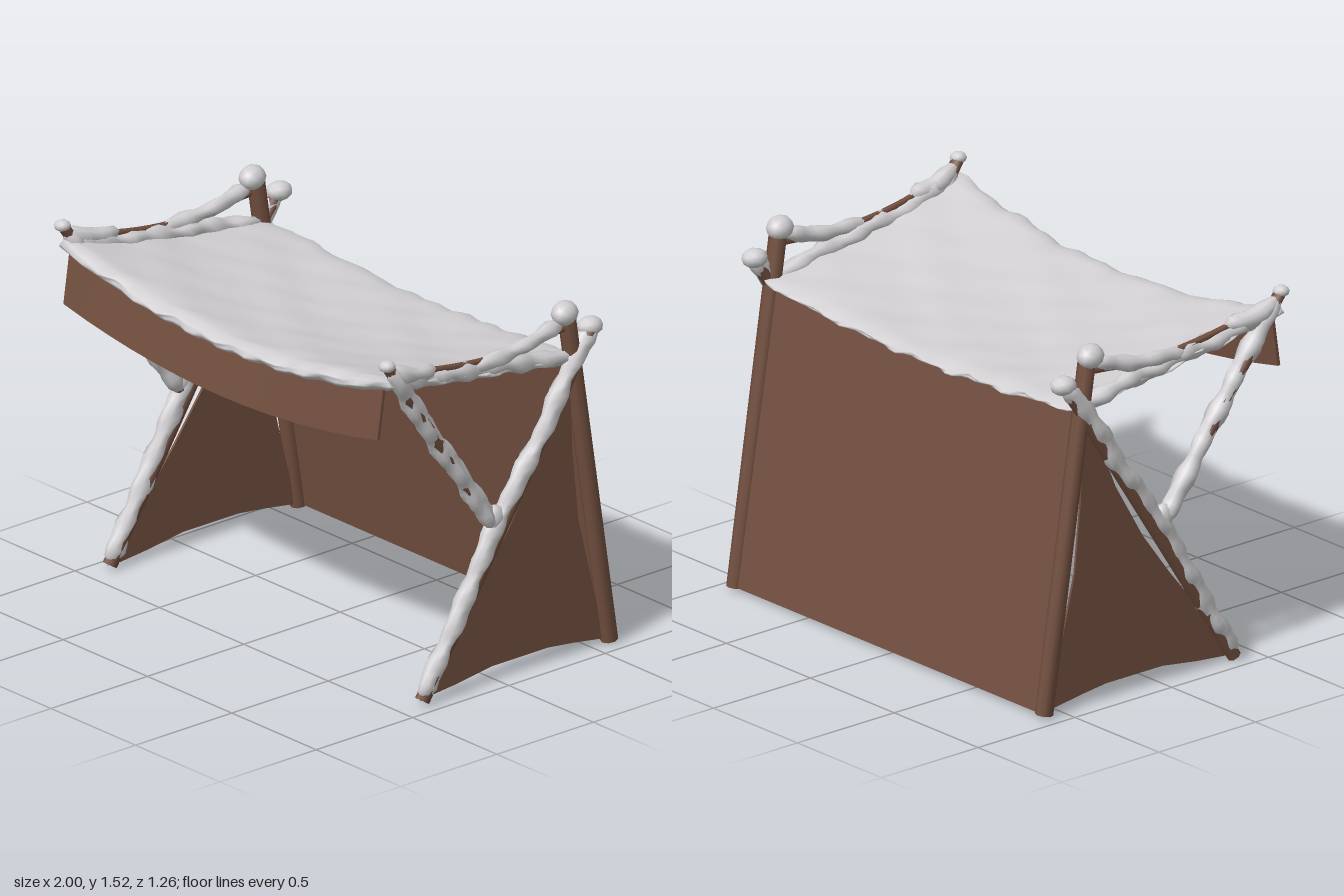
import * as THREE from 'three';
import { mergeVertices, toCreasedNormals } from 'three/addons/utils/BufferGeometryUtils.js';

const brown = new THREE.MeshStandardMaterial({ name: 'brown hide and wood', color: 0x735040 });
const snow = new THREE.MeshStandardMaterial({ name: 'snow', color: 0xd2d0d2 });

const V = (x, y, z) => new THREE.Vector3(x, y, z);

// Smooth repeatable unevenness, between -1 and 1
const bump = (a, b, seed) =>
  0.5 * Math.sin(a * 1.7 + seed * 2.3 + Math.sin(b * 2.1 + seed)) +
  0.5 * Math.sin(a * 0.83 - b * 1.3 + seed * 5.1);

function weld(geo) {
  geo.deleteAttribute('uv');
  geo.deleteAttribute('normal');
  const out = mergeVertices(geo, 1e-4);
  out.computeVertexNormals();
  return out;
}

// Subdivided unit box whose vertices are moved by a rule taking -1..1 coordinates
function warpedBox(nx, ny, nz, rule, smooth) {
  const geo = new THREE.BoxGeometry(2, 2, 2, nx, ny, nz);
  const p = geo.attributes.position;
  for (let i = 0; i < p.count; i++) {
    const [x, y, z] = rule(p.getX(i), p.getY(i), p.getZ(i));
    p.setXYZ(i, x, y, z);
  }
  const welded = weld(geo);
  return smooth ? welded : toCreasedNormals(welded, 0.6);
}

// Straight wooden pole between two points
function pole(a, b, radius) {
  const geo = new THREE.CylinderGeometry(radius, radius, a.distanceTo(b), 8);
  const dir = b.clone().sub(a).normalize();
  geo.applyQuaternion(new THREE.Quaternion().setFromUnitVectors(V(0, 1, 0), dir));
  const mid = a.clone().add(b).multiplyScalar(0.5);
  geo.translate(mid.x, mid.y, mid.z);
  return toCreasedNormals(geo, 0.9);
}

// Lumpy snow lying along a path, closed with rounded ends
function drift(points, radius, seed, uneven = 0.28) {
  const curve = new THREE.CatmullRomCurve3(points);
  const rings = Math.max(8, Math.round(curve.getLength() / 0.035));
  const sides = 9;
  const geo = new THREE.TubeGeometry(curve, rings, 1, sides, false);
  const p = geo.attributes.position;
  const v = V(0, 0, 0);
  for (let i = 0; i <= rings; i++) {
    const centre = curve.getPointAt(i / rings);
    const end = Math.min(1, Math.sqrt(Math.min(i, rings - i) / 2));
    for (let j = 0; j <= sides; j++) {
      const k = i * (sides + 1) + j;
      const r = radius * end * (1 + uneven * bump(i * 0.9, (j % sides) * 0.9, seed));
      v.fromBufferAttribute(p, k).sub(centre).multiplyScalar(r).add(centre);
      p.setXYZ(k, v.x, v.y, v.z);
    }
  }
  return weld(geo);
}

// Faceted clump of snow on a pole end
function clump(x, y, z, sx, sy, sz) {
  const geo = weld(new THREE.IcosahedronGeometry(1, 1));
  geo.scale(sx, sy, sz).rotateY(y * 9).translate(x, y, z);
  return geo;
}

export function createModel() {
  const group = new THREE.Group();
  const add = (name, geo, mat) => {
    const mesh = new THREE.Mesh(geo, mat);
    mesh.name = name;
    group.add(mesh);
  };

  // Back wall leaning forward between the rear posts
  add('backWall', warpedBox(12, 6, 1, (a, b, c) => {
    const t = (b + 1) / 2;
    const y = 0.015 + t * (1.175 + 0.04 * a * a);
    return [0.92 * a, y, -0.6 + 0.163 * y + 0.006 * c];
  }), brown);

  // Hanging strip under the front of the roof
  add('frontValance', warpedBox(14, 2, 1, (a, b, c) => {
    const t = (b + 1) / 2;
    const low = 1.075 + 0.1 * a * a;
    const high = 1.265 + 0.115 * a * a;
    return [0.93 * a - 0.01, low + t * (high - low), 0.606 - 0.03 * t + 0.007 * c];
  }), brown);

  // Sagging snow-laden roof
  add('snowRoof', warpedBox(44, 4, 28, (a, b, c) => {
    const t = (c + 1) / 2;
    const round = Math.sqrt(1 - 0.9 * Math.max(a ** 10, c ** 14));
    const half = (0.024 + 0.019 * t * t) * round;
    const mid = 1.195 + 0.09 * t + (0.055 + 0.075 * t) * a * a - 0.02 * Math.sin(t * Math.PI);
    const rough = 0.006 * bump(a * 9, c * 6, 2);
    const overhang = 1 - 0.18 * b * b;
    const ragX = a ** 10 * 0.016 * bump(c * 14, b, 4);
    const ragZ = c ** 10 * 0.011 * bump(a * 22, b, 7);
    return [
      a * (0.925 + 0.035 * t + 0.02 * (overhang - 0.82) + ragX),
      mid + half * b + rough * (b + 1) / 2 + (Math.abs(c) ** 10) * 0.008 * bump(a * 20, c, 5),
      0.08 + c * (0.515 + 0.02 * overhang / 2 + ragZ),
    ];
  }, true), snow);

  // Side wall outline, given as z and y
  const outline = [
    [0.36, 0.02], [0.2, 0.035], [0.02, 0.06], [-0.27, 0.06], [-0.4, 0.045], [-0.57, 0.02],
    [-0.5, 0.28], [-0.43, 0.56], [-0.4, 0.85], [-0.385, 1.2], [-0.34, 1.16],
    [-0.22, 0.87], [-0.08, 0.63], [0.06, 0.44], [0.2, 0.27],
  ].map(([z, y]) => new THREE.Vector2(z, y));

  for (const s of [-1, 1]) {
    const side = s > 0 ? 'left' : 'right';
    const seed = s > 0 ? 3 : 8;

    const sheet = new THREE.ExtrudeGeometry(new THREE.Shape(outline), { depth: 0.01, bevelEnabled: false });
    sheet.rotateY(-Math.PI / 2).translate(s * 0.915 + 0.005, 0, 0);
    add(side + 'SideWall', sheet, brown);

    // Wooden frame
    add(side + 'RearPost', pole(V(s * 0.92, 0.01, -0.59), V(s * 0.92, 1.43, -0.37), 0.036), brown);
    add(side + 'FrontPole', pole(V(s * 0.925, 0.015, 0.385), V(s * 0.93, 1.35, -0.48), 0.03), brown);
    add(side + 'Strut', pole(V(s * 0.925, 0.66, 0.02), V(s * 0.96, 1.49, 0.595), 0.025), brown);
    const rope = new THREE.CatmullRomCurve3([
      V(s * 0.955, 1.46, 0.57), V(s * 0.935, 1.395, 0.3), V(s * 0.93, 1.365, 0), V(s * 0.925, 1.39, -0.36),
    ]);
    add(side + 'RoofRope', new THREE.TubeGeometry(rope, 16, 0.014, 6), brown);

    // Snow lying on the upper side of the frame
    add(side + 'PoleSnow', drift([
      V(s * 0.925, 0.015, 0.395), V(s * 0.93, 0.33, 0.2), V(s * 0.93, 0.66, 0.005), V(s * 0.935, 1.0, -0.24),
      V(s * 0.935, 1.22, -0.375), V(s * 0.93, 1.37, -0.51),
    ], 0.036, seed), snow);
    add(side + 'StrutSnow', drift([
      V(s * 0.925, 0.64, 0.01), V(s * 0.93, 0.87, 0.16), V(s * 0.935, 1.15, 0.36),
      V(s * 0.95, 1.36, 0.5), V(s * 0.965, 1.49, 0.595),
    ], 0.037, seed + 2), snow);
    add(side + 'ForkSnow', clump(s * 0.93, 0.69, 0.015, 0.035, 0.055, 0.045), snow);
    add(side + 'FrontRopeSnow', drift([
      V(s * 0.96, 1.475, 0.6), V(s * 0.95, 1.42, 0.47), V(s * 0.935, 1.405, 0.32),
    ], 0.036, seed + 4), snow);
    add(side + 'RearRopeSnow', drift([
      V(s * 0.935, 1.35, 0.14), V(s * 0.935, 1.36, 0), V(s * 0.93, 1.375, -0.15), V(s * 0.925, 1.42, -0.35),
    ], 0.03, seed + 6), snow);

    // Ragged snow curtain joining the roof edge to the rope
    add(side + 'RoofEdgeSnow', drift([
      V(s * 0.945, 1.42, 0.55), V(s * 0.93, 1.365, 0.3), V(s * 0.92, 1.33, 0.05),
      V(s * 0.92, 1.29, -0.2), V(s * 0.915, 1.25, -0.41),
    ], 0.034, seed + 1, 0.4), snow);

    // Clumps on the pole ends
    add(side + 'PostCap', clump(s * 0.925, 1.452, -0.355, 0.054, 0.05, 0.066), snow);
    add(side + 'PoleCap', clump(s * 0.92, 1.36, -0.49, 0.046, 0.04, 0.055), snow);
    add(side + 'StrutCap', clump(s * 0.962, 1.495, 0.598, 0.034, 0.025, 0.03), snow);
  }

  return group;
}
